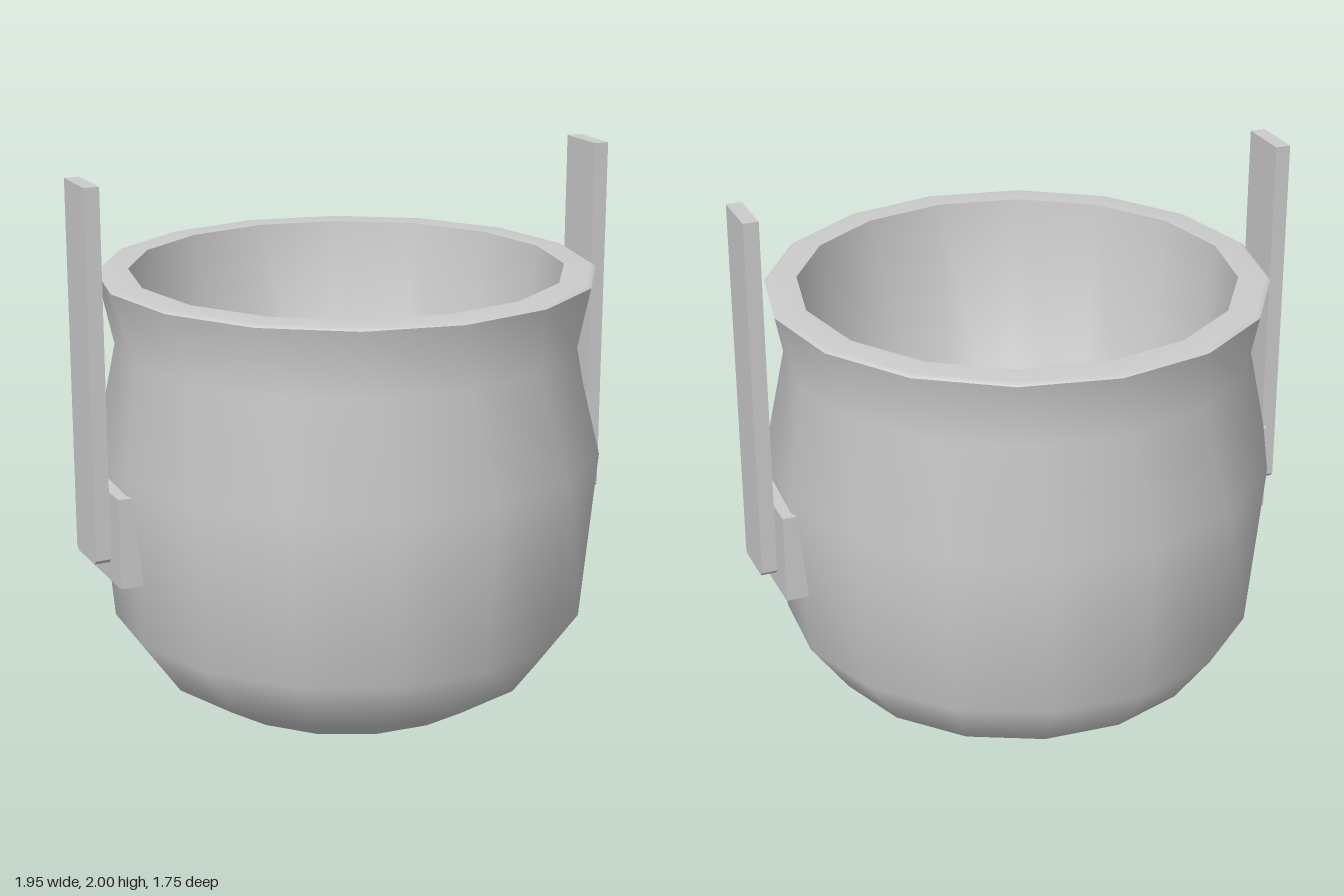
import * as THREE from 'three';

const SIDES = 16;
const material = new THREE.MeshStandardMaterial({ color: 0xcccccc });

function addMesh(parent, name, geometry) {
  const mesh = new THREE.Mesh(geometry, material);
  mesh.name = name;
  parent.add(mesh);
  return mesh;
}

// Turned surface from rows of [radius, y, twist in degrees]
function turned(rows) {
  const geometry = new THREE.LatheGeometry(rows.map(([r, y]) => new THREE.Vector2(r, y)), SIDES);
  const { position, normal } = geometry.attributes;
  const axis = new THREE.Vector3(0, 1, 0);
  const v = new THREE.Vector3();
  for (let i = 0; i < position.count; i++) {
    const angle = THREE.MathUtils.degToRad(rows[i % rows.length][2] ?? 0);
    for (const attribute of [position, normal]) {
      v.fromBufferAttribute(attribute, i).applyAxisAngle(axis, angle);
      attribute.setXYZ(i, v.x, v.y, v.z);
    }
  }
  return geometry;
}

// Upright bar with slightly clipped lower corners, extruded along x
function barGeometry(halfWidth, bottom, top, thickness) {
  const c = 0.015;
  const shape = new THREE.Shape([
    [-halfWidth + c, bottom], [halfWidth - c, bottom], [halfWidth, bottom + c],
    [halfWidth, top], [-halfWidth, top], [-halfWidth, bottom + c],
  ].map(([x, y]) => new THREE.Vector2(x, y)));
  const geometry = new THREE.ExtrudeGeometry(shape, { depth: thickness, bevelEnabled: false });
  geometry.translate(0, 0, -thickness / 2);
  geometry.rotateY(Math.PI / 2);
  return geometry;
}

export function createModel() {
  const model = new THREE.Group();
  model.name = 'pot';

  // Vessel: rounded base, full belly, narrowed neck and flared lip
  const vessel = new THREE.Group();
  vessel.name = 'vessel';
  model.add(vessel);
  addMesh(vessel, 'outerWall', turned([
    [0, 0], [0.22, 0.02, 8], [0.5, 0.1, 8], [0.69, 0.215, 8], [0.83, 0.41, 8],
    [0.885, 1.01, 8], [0.803, 1.38, 4], [0.86, 1.62],
  ]));
  addMesh(vessel, 'rim', turned([[0.86, 1.62], [0.845, 1.63], [0.75, 1.63]]));

  // Cavity: straight tapering wall down to a flat floor
  addMesh(vessel, 'cavity', turned([[0.75, 1.63], [0.61, 0.3], [0, 0.3]]));

  // Mounting block and upright handle bar on each side
  for (const [side, x] of [['left', 1], ['right', -1]]) {
    const block = addMesh(model, side + 'MountingBlock', new THREE.BoxGeometry(0.11, 0.315, 0.31));
    block.position.set(x * 0.855, 0.803, 0);
    const bar = addMesh(model, side + 'HandleBar', barGeometry(0.095, 0.72, 2, 0.053));
    bar.position.x = x * 0.948;
  }
  return model;
}
